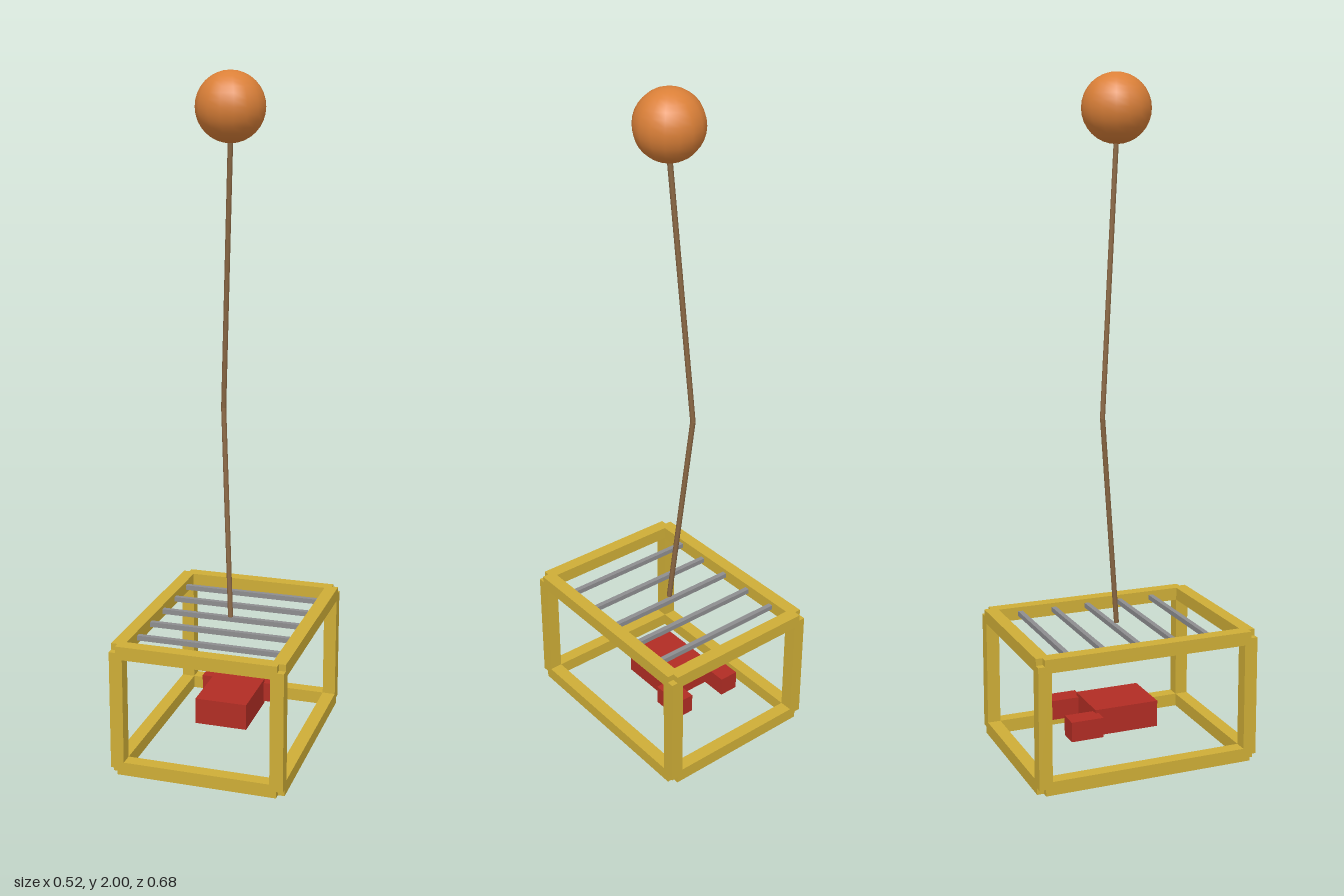
import * as THREE from 'three';

const material = (name, color) => {
  const m = new THREE.MeshStandardMaterial({ color });
  m.name = name;
  return m;
};

export function createModel() {
  const model = new THREE.Group();
  const gold = material('gold', 0xcfae37);
  const grey = material('grey', 0x8e8e90);
  const red = material('red', 0xb22d24);
  const brown = material('brown', 0x8b6844);
  const orange = material('orange', 0xdb8038);

  const add = (name, geometry, mat, x, y, z) => {
    const mesh = new THREE.Mesh(geometry, mat);
    mesh.name = name;
    mesh.position.set(x, y, z);
    model.add(mesh);
    return mesh;
  };
  const box = (name, mat, w, h, d, x, y, z) =>
    add(name, new THREE.BoxGeometry(w, h, d), mat, x, y, z);

  // Open cage: rails and posts meet on their centre lines, leaving notched corners
  const t = 0.04, X = 0.24, Z = 0.32, low = 0.02, high = 0.38;
  for (const a of [-1, 1]) {
    for (const y of [low, high]) {
      box('crossRail', gold, 2 * X, t, t, 0, y, a * Z);
      box('sideRail', gold, t, t, 2 * Z, a * X, y, 0);
    }
    for (const b of [-1, 1]) {
      box('cornerPost', gold, t, high - low, t, a * X, 0.2, b * Z);
    }
  }

  // Thin bars across the top
  for (let i = 0; i < 5; i++) {
    box('topBar', grey, 2 * X, 0.015, 0.015, 0, high, -0.23 + i * 0.11);
  }

  // Block with two rear arms inside the cage
  box('block', red, 0.16, 0.08, 0.2, 0, 0.115, 0);
  for (const s of [-1, 1]) box('rearArm', red, 0.06, 0.06, 0.1, s * 0.09, 0.115, -0.14);

  // Bent pole in two straight lengths
  const points = [[0, 0.39, 0], [-0.04, 1.025, -0.06], [0, 1.82, 0]]
    .map(p => new THREE.Vector3(...p));
  for (let i = 0; i < 2; i++) {
    const direction = points[i + 1].clone().sub(points[i]);
    const middle = points[i].clone().addScaledVector(direction, 0.5);
    const rod = add('pole', new THREE.CylinderGeometry(0.008, 0.008, direction.length(), 8),
      brown, middle.x, middle.y, middle.z);
    rod.quaternion.setFromUnitVectors(new THREE.Vector3(0, 1, 0), direction.normalize());
  }

  // Ball on top
  add('ball', new THREE.SphereGeometry(0.1, 16, 16), orange, 0, 1.9, 0);

  return model;
}
